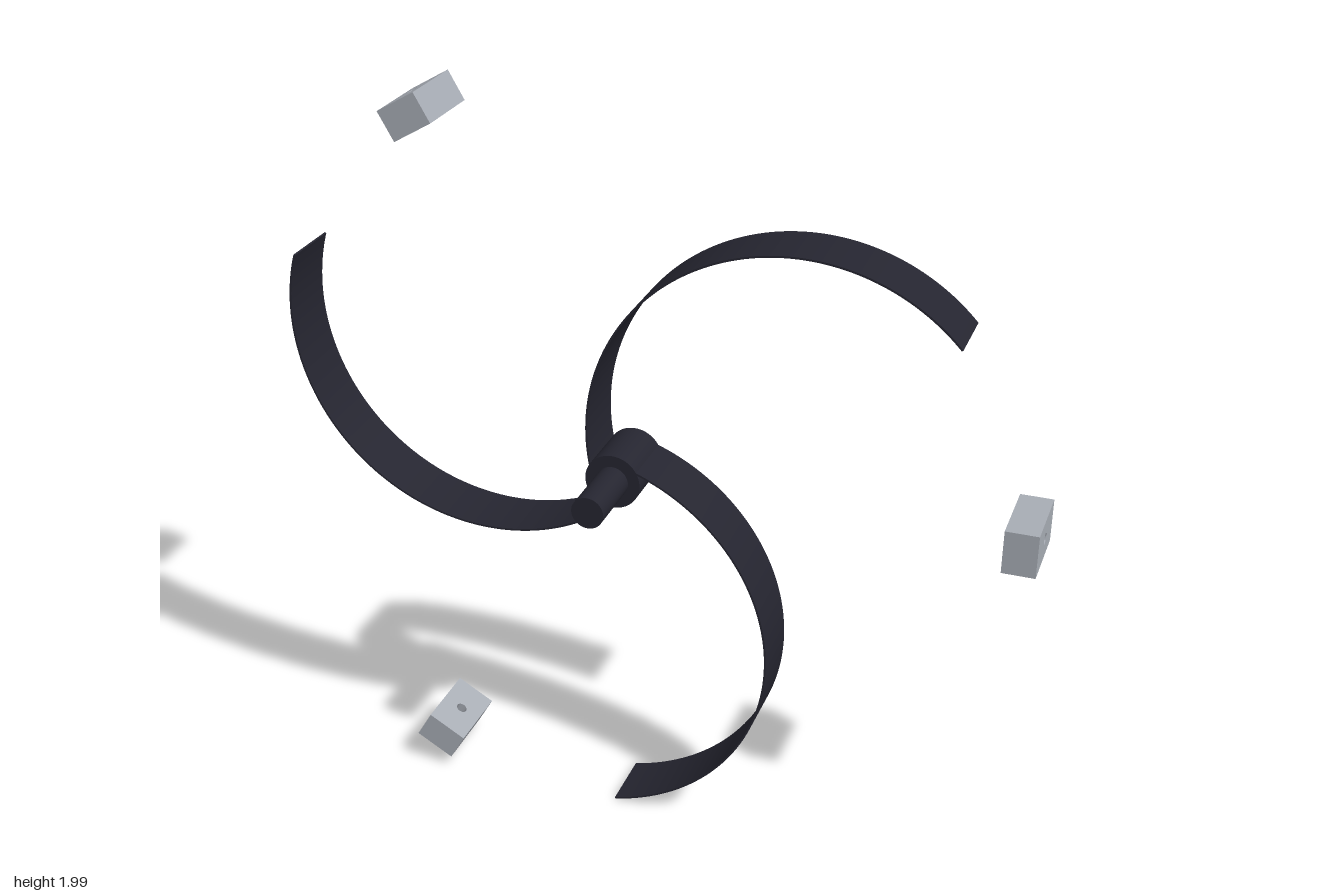
import * as THREE from 'three';
import { toCreasedNormals } from 'three/addons/utils/BufferGeometryUtils.js';

const HUB = { x: -0.1, y: 1.016, midZ: -0.081, r: 0.0745, width: 0.17 };

export function createModel() {
  const dark = new THREE.MeshStandardMaterial({ color: 0x252530 });
  dark.name = 'dark navy';
  const grey = new THREE.MeshStandardMaterial({ color: 0xa8adb5 });
  grey.name = 'light grey';

  const model = new THREE.Group();
  model.name = 'spiralRotor';
  const add = (name, geometry, material, parent) => {
    const mesh = new THREE.Mesh(geometry, material);
    mesh.name = name;
    parent.add(mesh);
    return mesh;
  };

  // Everything turns about the hub axis, which runs along z
  const rotor = new THREE.Group();
  rotor.name = 'rotor';
  rotor.position.set(HUB.x, HUB.y, HUB.midZ);
  model.add(rotor);

  // Hub and forward shaft
  add('hub', new THREE.CylinderGeometry(HUB.r, HUB.r, HUB.width, 48).rotateX(Math.PI / 2), dark, rotor);
  const shaftEnd = 0.181 - HUB.midZ;
  const shaftStart = 0.06;
  add('shaft', new THREE.CylinderGeometry(0.043, 0.043, shaftEnd - shaftStart, 40).rotateX(Math.PI / 2), dark, rotor)
    .position.z = (shaftEnd + shaftStart) / 2;

  // Thin curved blade: an arc strip that starts inside the hub
  const cx = 0.475, cy = 0.134, radius = 0.545, half = 0.0025;
  const start = THREE.MathUtils.degToRad(194), end = THREE.MathUtils.degToRad(42.8);
  const strip = new THREE.Shape();
  strip.absarc(cx, cy, radius + half, start, end, true);
  strip.absarc(cx, cy, radius - half, end, start, false);
  const bladeGeometry = toCreasedNormals(
    new THREE.ExtrudeGeometry(strip, { depth: HUB.width, bevelEnabled: false, curveSegments: 56 })
      .translate(0, 0, -HUB.width / 2), 0.5);

  // Outer block with a small hole along the radial direction
  const w = 0.1, h = 0.058, depth = 0.085;
  const face = new THREE.Shape([
    new THREE.Vector2(-w, -h), new THREE.Vector2(w, -h),
    new THREE.Vector2(w, h), new THREE.Vector2(-w, h),
  ]);
  const hole = new THREE.Path();
  hole.absarc(0, 0, 0.015, 0, Math.PI * 2, true);
  face.holes.push(hole);
  const blockGeometry = toCreasedNormals(
    new THREE.ExtrudeGeometry(face, { depth, bevelEnabled: false, curveSegments: 20 })
      .translate(0, 0, -depth / 2).rotateY(Math.PI / 2).translate(1.0565, 0, 0), 0.6);

  // Three blades and three blocks, evenly spaced
  for (let i = 0; i < 3; i++) {
    const angle = (i * Math.PI * 2) / 3;
    add('blade' + (i + 1), bladeGeometry, dark, rotor).rotation.z = angle;
    add('outerBlock' + (i + 1), blockGeometry, grey, rotor).rotation.z = angle;
  }
  return model;
}
